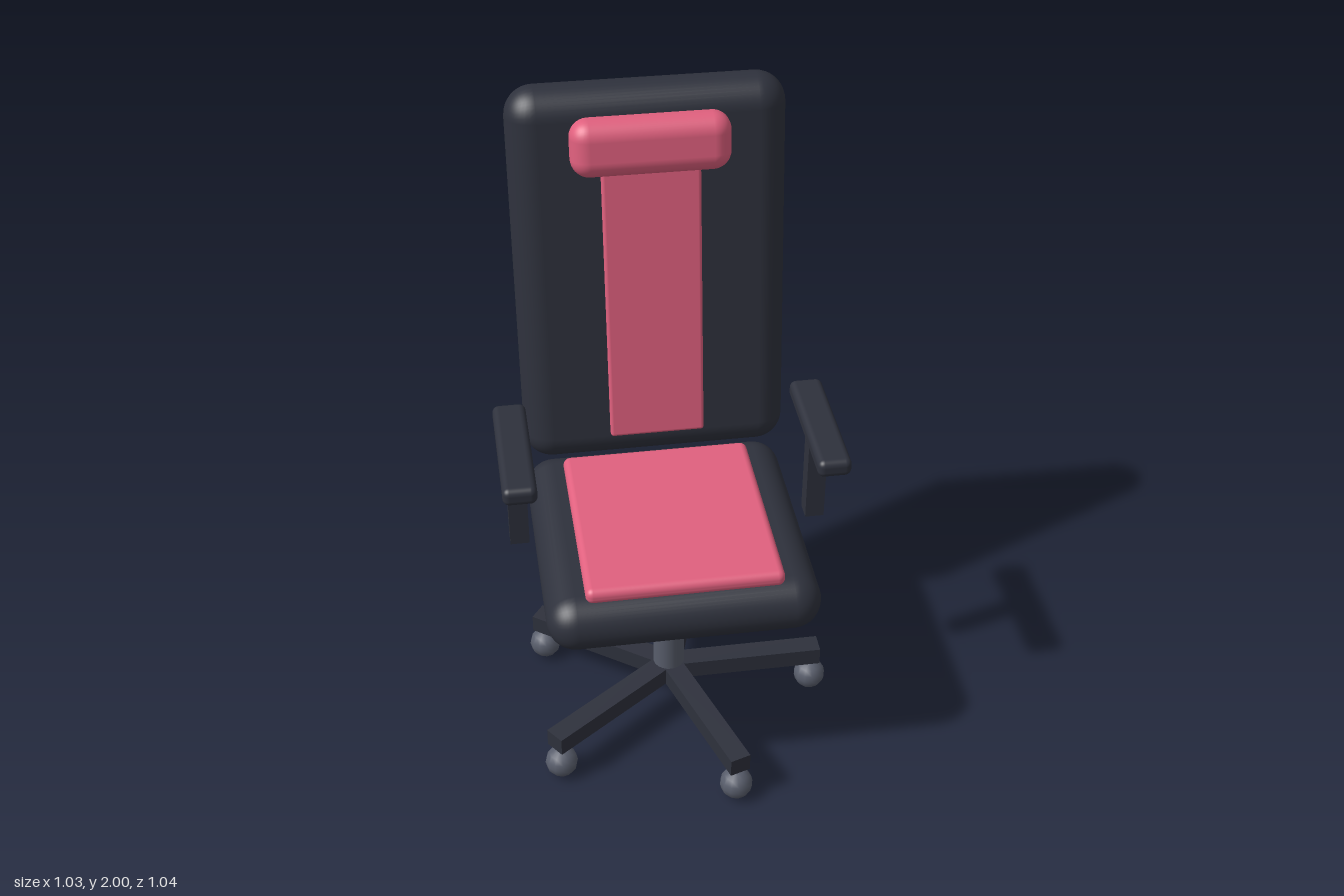
import * as THREE from 'three';
import { RoundedBoxGeometry } from 'three/addons/geometries/RoundedBoxGeometry.js';

const material = (color) => new THREE.MeshStandardMaterial({ color });

export function createModel() {
  const dark = material(0x2e313c);
  const pink = material(0xe0607e);
  const steel = material(0x585d6b);

  const model = new THREE.Group();
  model.name = 'officeChair';

  const add = (parent, name, geometry, mat, x, y, z) => {
    const mesh = new THREE.Mesh(geometry, mat);
    mesh.name = name;
    mesh.position.set(x, y, z);
    parent.add(mesh);
    return mesh;
  };
  const cushion = (w, h, d, r) => new RoundedBoxGeometry(w, h, d, 5, r);

  // Everything is laid out around the axis of the column
  const chair = new THREE.Group();
  chair.name = 'chair';
  chair.position.set(-0.0075, 0, 0.027);
  model.add(chair);

  // Five-star base with ball casters
  const legLength = 0.495;
  for (let i = 0; i < 5; i++) {
    const spoke = new THREE.Group();
    spoke.name = 'baseSpoke';
    spoke.rotation.y = (i * Math.PI * 2) / 5;
    add(spoke, 'baseLeg', new THREE.BoxGeometry(legLength, 0.06, 0.066), dark, legLength / 2, 0.15, 0);
    const caster = add(spoke, 'caster', new THREE.SphereGeometry(0.051, 12, 8), steel, 0.47, 0.053, 0);
    caster.rotation.y = -spoke.rotation.y;
    chair.add(spoke);
  }

  // Gas lift column
  add(chair, 'column', new THREE.CylinderGeometry(0.05, 0.05, 0.5, 24), steel, 0, 0.37, 0);

  // Seat and its inlaid pad
  add(chair, 'seat', cushion(0.815, 0.175, 0.815, 0.087), dark, 0, 0.677, 0);
  add(chair, 'seatPad', cushion(0.585, 0.05, 0.665, 0.022), pink, 0, 0.784, 0.03);

  // Reclined backrest with centre strip and headrest
  const back = new THREE.Group();
  back.name = 'back';
  back.position.set(0, 1.4075, -0.394);
  back.rotation.x = -0.118;
  chair.add(back);
  add(back, 'backrest', cushion(0.815, 1.192, 0.175, 0.087), dark, 0, 0, 0);
  add(back, 'backStrip', cushion(0.29, 0.93, 0.04, 0.01), pink, 0, -0.039, 0.089);
  add(back, 'headrest', cushion(0.465, 0.17, 0.12, 0.055), pink, 0, 0.437, 0.098);

  // Armrests on both sides
  for (const side of [-1, 1]) {
    const arm = new THREE.Group();
    arm.name = side > 0 ? 'leftArm' : 'rightArm';
    arm.position.x = side * 0.4555;
    add(arm, 'armPost', new THREE.BoxGeometry(0.058, 0.33, 0.058), dark, 0, 0.885, -0.027);
    add(arm, 'armPad', cushion(0.1, 0.056, 0.44, 0.02), dark, 0, 1.06, 0);
    chair.add(arm);
  }

  return model;
}
